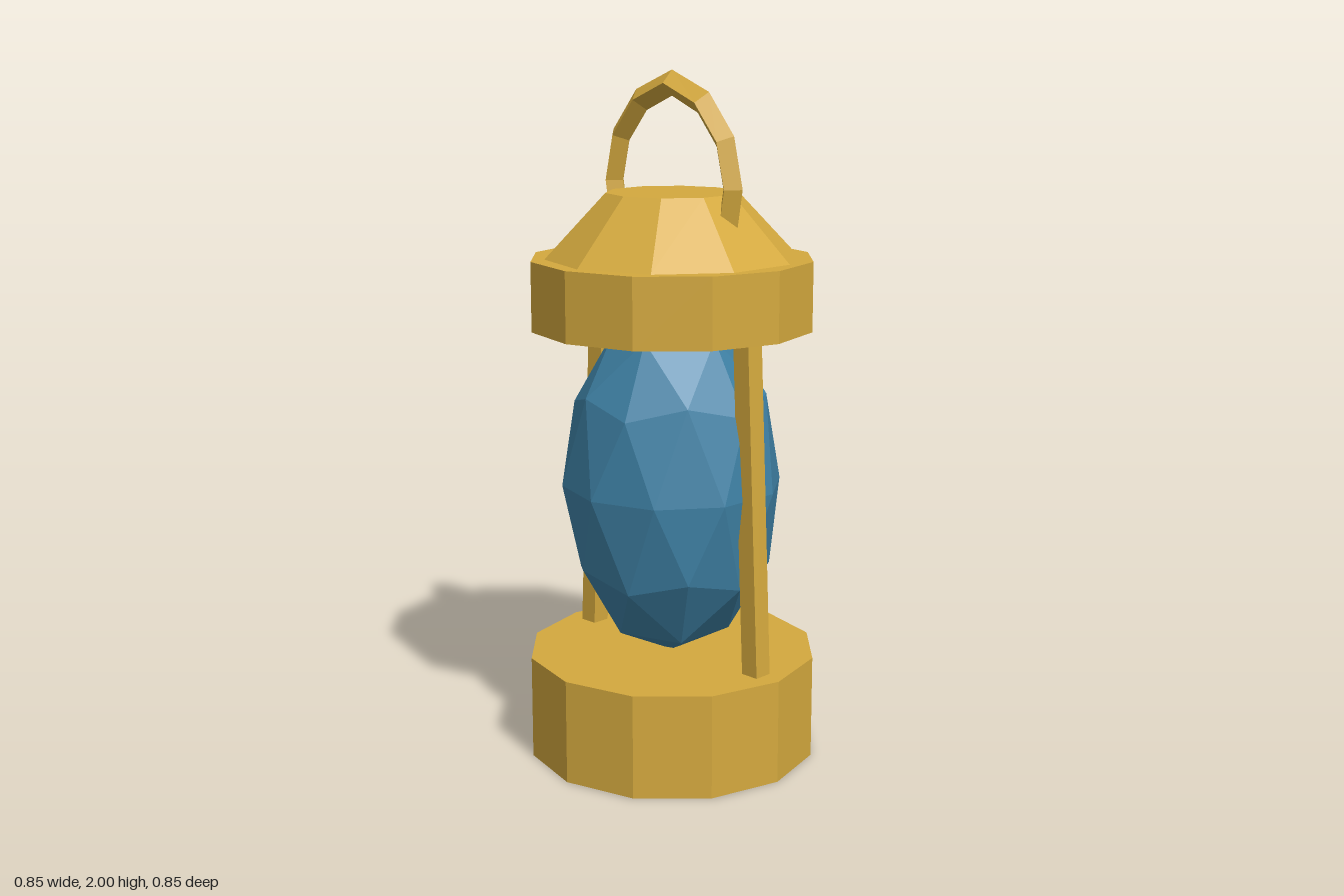
import * as THREE from 'three';

export function createModel() {
  const model = new THREE.Group();
  model.name = 'lantern';

  const brass = new THREE.MeshStandardMaterial({ color: 0xd4a93e, flatShading: true });
  brass.name = 'brass';
  const glass = new THREE.MeshStandardMaterial({ color: 0x3f82a6, flatShading: true });
  glass.name = 'blue glass';

  const add = (name, geometry, material) => {
    const mesh = new THREE.Mesh(geometry, material);
    mesh.name = name;
    model.add(mesh);
    return mesh;
  };

  // Faceted drum or cone standing between two heights
  const drum = (name, rTop, rBottom, y0, y1, sides) =>
    add(name, new THREE.CylinderGeometry(rTop, rBottom, y1 - y0, sides).translate(0, (y0 + y1) / 2, 0), brass);

  drum('base', 0.427, 0.427, 0, 0.305, 12);
  drum('capRim', 0.41, 0.41, 1.275, 1.475, 12);
  drum('capRoof', 0.19, 0.365, 1.475, 1.66, 10);

  // Elongated faceted globe with one corner turned straight up
  const globe = new THREE.IcosahedronGeometry(1, 1);
  globe.rotateZ(-Math.atan(2 / (1 + Math.sqrt(5))));
  globe.scale(0.323, 0.52, 0.323);
  globe.translate(0, 0.8135, 0);
  add('globe', globe, glass);

  // Posts leaning inward, sunk slightly into the base and cap
  for (const side of [1, -1]) {
    const post = add(side > 0 ? 'leftPost' : 'rightPost', new THREE.BoxGeometry(0.056, 1.02, 0.056), brass);
    post.position.set(side * 0.317, 0.79, 0);
    post.rotation.z = side * Math.atan(0.045 / 0.97);
  }

  // Carrying handle: a four-sided bar bent into an arch, ends buried in the roof
  const half = [[0.213, 1.55], [0.236, 1.675], [0.204, 1.815], [0.12, 1.915]];
  const points = [
    ...half.map(([x, y]) => new THREE.Vector3(x, y, 0)),
    new THREE.Vector3(0, 1.964, 0),
    ...half.slice().reverse().map(([x, y]) => new THREE.Vector3(-x, y, 0)),
  ];
  add('handle', new THREE.TubeGeometry(new THREE.CatmullRomCurve3(points), 8, 0.036, 4), brass);

  return model;
}
